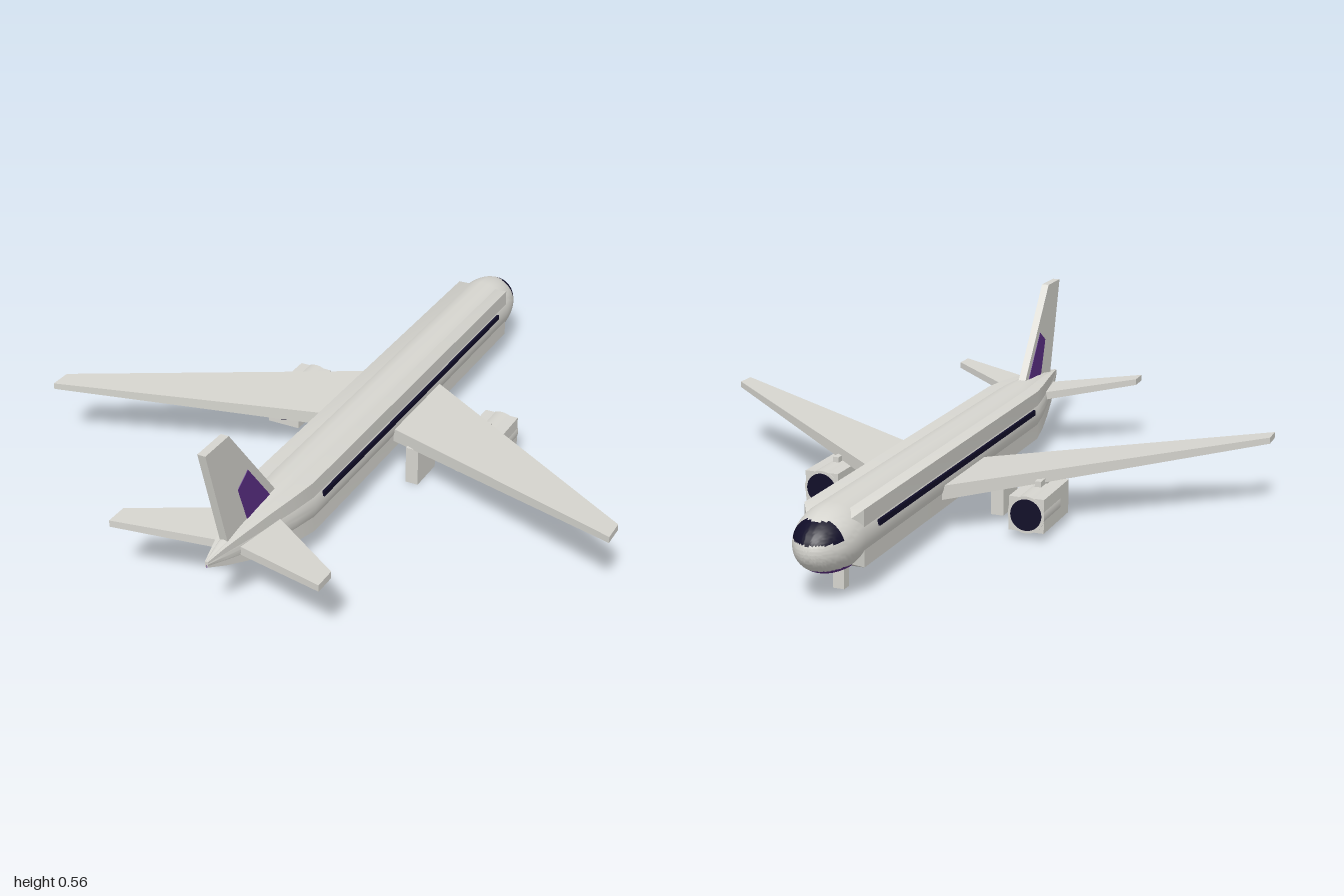
import * as THREE from 'three';
import { toCreasedNormals } from 'three/addons/utils/BufferGeometryUtils.js';

const paint = (name, color) => {
  const m = new THREE.MeshStandardMaterial({ color });
  m.name = name;
  return m;
};

export function createModel() {
  const grey = paint('light grey', 0xd6d5cf);
  const purple = paint('purple', 0x5c2f86);
  const dark = paint('dark glass', 0x100d28);
  const skins = [grey, purple, dark];

  const model = new THREE.Group();
  model.name = 'airliner';
  const add = (name, geometry, material, parent = model) => {
    const mesh = new THREE.Mesh(geometry, material);
    mesh.name = name;
    parent.add(mesh);
    return mesh;
  };
  const box = (name, x0, x1, y0, y1, z0, z1, material = grey) =>
    add(name, new THREE.BoxGeometry(x1 - x0, y1 - y0, z1 - z0)
      .translate((x0 + x1) / 2, (y0 + y1) / 2, (z0 + z1) / 2), material);

  // Skin over elliptical sections [z, centreY, halfX, halfY]; pick() gives each quad a colour
  function loft(stations, sides, turn, scale, crease, pick) {
    const point = ([z, cy, hx, hy], j) => {
      const a = turn + (j / sides) * Math.PI * 2;
      return [hx * scale * Math.cos(a), cy + hy * scale * Math.sin(a), z];
    };
    const buckets = [[], [], []];
    for (let i = 0; i < stations.length - 1; i++) {
      for (let j = 0; j < sides; j++) {
        const a = point(stations[i], j), b = point(stations[i], j + 1);
        const c = point(stations[i + 1], j + 1), d = point(stations[i + 1], j);
        const mid = [0, 1, 2].map((k) => (a[k] + b[k] + c[k] + d[k]) / 4);
        const angle = turn + ((j + 0.5) / sides) * Math.PI * 2;
        buckets[pick(mid, angle)].push(...a, ...b, ...c, ...a, ...c, ...d);
      }
    }
    let g = new THREE.BufferGeometry();
    g.setAttribute('position', new THREE.Float32BufferAttribute(buckets.flat(), 3));
    g.computeVertexNormals();
    g = toCreasedNormals(g, crease);
    g.clearGroups();
    let start = 0;
    buckets.forEach((bucket, k) => {
      if (bucket.length) g.addGroup(start, bucket.length / 3, k);
      start += bucket.length / 3;
    });
    return g;
  }

  // Round hull: domed nose, straight cabin, tapered tail
  const hull = [];
  for (let i = 0; i <= 24; i++) {
    const a = (i / 24) * Math.PI / 2;
    const r = 0.096 * Math.sin(a);
    hull.push([-0.83 - 0.17 * Math.cos(a), 0.164, r, r]);
  }
  const tail = [
    [0.56, 0.164, 0.096, 0.095], [0.65, 0.17, 0.083, 0.088], [0.75, 0.178, 0.063, 0.075],
    [0.85, 0.189, 0.042, 0.055], [0.93, 0.199, 0.022, 0.034], [1.0, 0.209, 0.005, 0.01],
    [1.0, 0.209, 0, 0],
  ];
  hull.push(...tail);
  add('hull', loft(hull, 64, 0, 1, 0.6, ([, y, z], angle) => {
    if (z < -0.922 && y > 0.185 && y < 0.236) return 2;
    const belly = z < -0.83 ? y < 0.1 : Math.sin(angle) < -0.7;
    return belly ? 1 : 0;
  }), skins);

  // Square casing whose corners stand proud of the round hull
  const casing = [[-0.875, 0.164, 0, 0], [-0.87, 0.164, 0.064, 0.062], [-0.83, 0.164, 0.09, 0.083]];
  tail.forEach(([z, cy, hx, hy]) => casing.push([z, cy, hx * 0.935, hy * 0.88]));
  add('fuselageCasing', loft(casing, 4, Math.PI / 4, Math.SQRT2, 0.5, () => 0), skins);

  // Swept panel from a root section to a tip section: { x, front, back, bottom, top }
  function panel(name, side, root, tip) {
    const g = new THREE.BoxGeometry(1, 1, 1);
    const p = g.attributes.position;
    for (let i = 0; i < p.count; i++) {
      const s = p.getX(i) * side < 0 ? root : tip;
      p.setXYZ(i, s.x * side, p.getY(i) > 0 ? s.top : s.bottom, p.getZ(i) > 0 ? s.back : s.front);
    }
    g.computeVertexNormals();
    add(name, g, grey);
  }

  for (const side of [1, -1]) {
    const label = side > 0 ? 'left' : 'right';
    const sideBox = (name, x0, x1, ...rest) =>
      box(label + name, Math.min(x0 * side, x1 * side), Math.max(x0 * side, x1 * side), ...rest);

    panel(label + 'Wing', side,
      { x: 0, front: -0.348, back: 0.007, bottom: 0.1, top: 0.147 },
      { x: 0.94, front: 0.34, back: 0.41, bottom: 0.215, top: 0.235 });
    panel(label + 'Tailplane', side,
      { x: 0, front: 0.665, back: 0.867, bottom: 0.172, top: 0.2 },
      { x: 0.335, front: 0.905, back: 0.975, bottom: 0.214, top: 0.235 });

    // Window stripe
    sideBox('WindowStripe', 0.092, 0.1, 0.177, 0.194, -0.748, 0.513, dark);

    // Engine: square casing, round nacelle, dark intake and exhaust
    sideBox('EngineCasing', 0.284, 0.396, 0.027, 0.133, -0.23, -0.005);
    const nacelle = new THREE.CylinderGeometry(0.058, 0.058, 0.15, 32).rotateX(Math.PI / 2);
    add(label + 'Nacelle', nacelle, grey).position.set(0.34 * side, 0.08, -0.158);
    const intake = new THREE.CylinderGeometry(0.049, 0.049, 0.006, 32).rotateX(Math.PI / 2);
    add(label + 'Intake', intake, dark).position.set(0.34 * side, 0.08, -0.233);
    const exhaust = new THREE.CylinderGeometry(0.034, 0.034, 0.006, 32).rotateX(Math.PI / 2);
    add(label + 'Exhaust', exhaust, dark).position.set(0.34 * side, 0.08, -0.004);
    sideBox('Pylon', 0.33, 0.35, 0.12, 0.155, -0.13, 0.0);

    // Main landing gear with a slanted brace
    sideBox('MainGear', 0.153, 0.195, 0, 0.125, -0.04, 0.085);
    const brace = add(label + 'GearBrace', new THREE.BoxGeometry(0.012, 0.07, 0.03), grey);
    brace.position.set(0.142 * side, 0.095, 0.0);
    brace.rotation.z = 0.45 * side;
  }

  // Nose landing gear
  box('noseGear', -0.017, 0.017, 0, 0.09, -0.81, -0.778);

  // Upright plate drawn as [z, y] points and centred on x = 0
  const plate = (name, points, depth, material) => {
    const shape = new THREE.Shape(points.map(([z, y]) => new THREE.Vector2(z, y)));
    const g = new THREE.ExtrudeGeometry(shape, { depth, bevelEnabled: false });
    return add(name, g.rotateY(-Math.PI / 2).translate(depth / 2, 0, 0), material);
  };
  plate('tailFin', [[0.605, 0.2], [0.9, 0.2], [0.995, 0.555], [0.877, 0.555]], 0.025, grey);
  const patch = [[0.675, 0.25], [0.8, 0.235], [0.845, 0.365], [0.79, 0.4]];
  for (const side of [1, -1]) {
    plate(side > 0 ? 'leftFinPatch' : 'rightFinPatch', patch, 0.003, purple).position.x = 0.013 * side;
  }

  return model;
}
